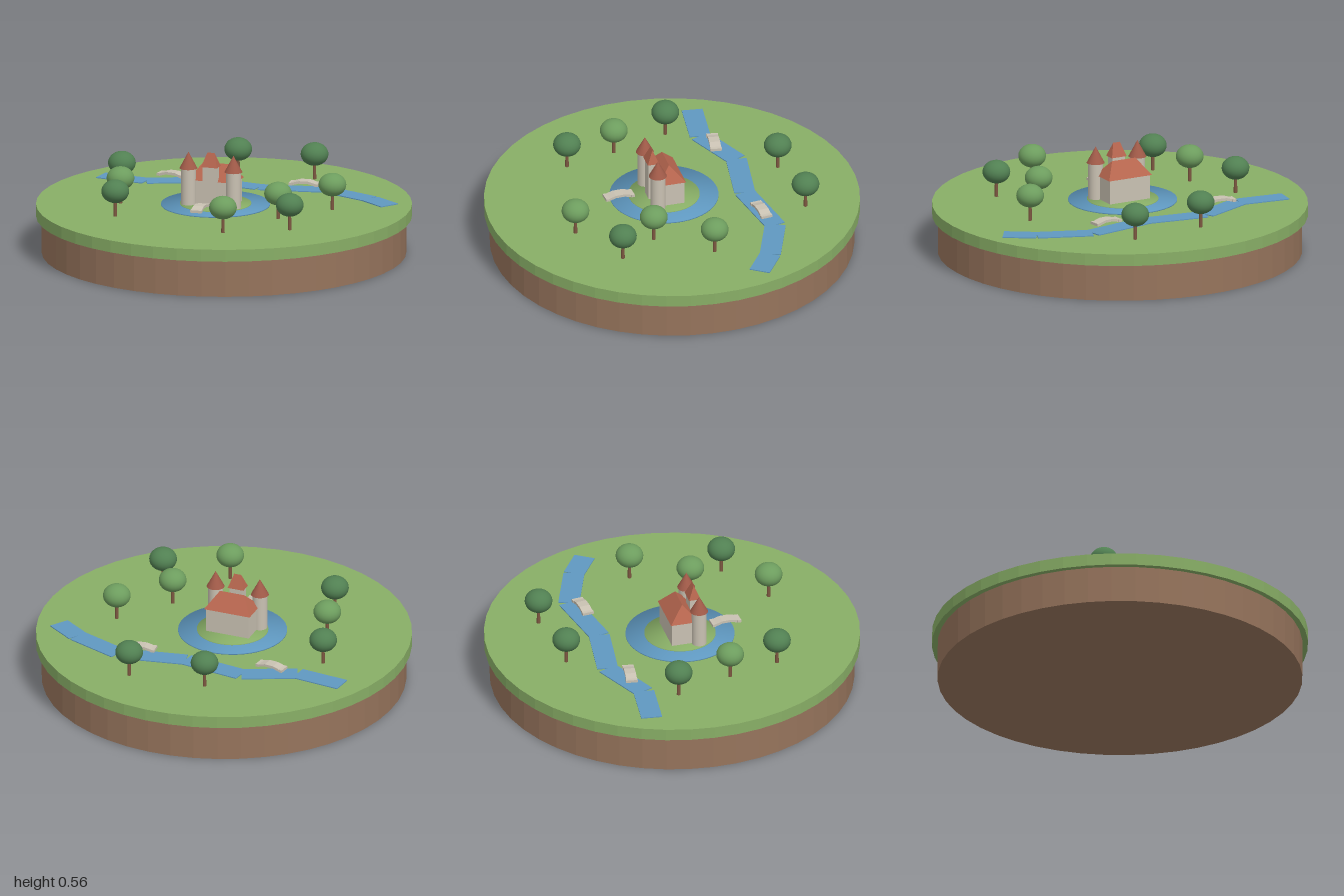
import * as THREE from 'three';
import { mergeVertices } from 'three/addons/utils/BufferGeometryUtils.js';

const material = (name, color) => {
  const m = new THREE.MeshStandardMaterial({ color });
  m.name = name;
  return m;
};

export function createModel() {
  const model = new THREE.Group();
  model.name = 'castleIsland';
  const grass = material('grass', 0x88ae66);
  const earth = material('earth', 0x96745c);
  const water = material('water', 0x5f98c0);
  const stone = material('stone', 0xc9c1b2);
  const roofTile = material('roofTile', 0xb5654e);
  const coneTile = material('coneTile', 0xa05a48);
  const bark = material('bark', 0x7c5640);
  const lightLeaf = material('lightLeaf', 0x6d9d5e);
  const darkLeaf = material('darkLeaf', 0x518052);
  const ground = 0.265;

  const add = (parent, name, geometry, mat, x = 0, y = 0, z = 0) => {
    const mesh = new THREE.Mesh(geometry, mat);
    mesh.name = name;
    mesh.position.set(x, y, z);
    parent.add(mesh);
    return mesh;
  };
  const group = (name, x, y, z, turn = 0) => {
    const g = new THREE.Group();
    g.name = name;
    g.position.set(x, y, z);
    g.rotation.y = turn;
    model.add(g);
    return g;
  };
  // Flat-faceted disc
  const facetedDisc = (r, h) => {
    const g = new THREE.CylinderGeometry(r, r, h, 48).toNonIndexed();
    g.computeVertexNormals();
    return g;
  };
  // Thin disc with normals rounded over its rim
  const softDisc = (r, h) => {
    let g = new THREE.CylinderGeometry(r, r, h, 48);
    g.deleteAttribute('normal');
    g.deleteAttribute('uv');
    g = mergeVertices(g);
    g.computeVertexNormals();
    const p = g.attributes.position;
    const n = new THREE.Vector3();
    for (let i = 0; i < p.count; i++) {
      n.set(p.getX(i) / r, Math.sign(p.getY(i)), p.getZ(i) / r).normalize();
      g.attributes.normal.setXYZ(i, n.x, n.y, n.z);
    }
    return g;
  };
  // Hipped roof: a box whose top is drawn in to a ridge
  const hipRoof = (w, h, d, ridge) => {
    const g = new THREE.BoxGeometry(w, h, d).toNonIndexed();
    const p = g.attributes.position;
    for (let i = 0; i < p.count; i++) {
      if (p.getY(i) > 0) p.setXYZ(i, Math.sign(p.getX(i)) * ridge / 2, h / 2, 0);
    }
    g.computeVertexNormals();
    return g;
  };

  // Island base
  add(model, 'earthBase', facetedDisc(0.97, 0.2), earth, 0, 0.1, 0);
  add(model, 'grassTop', facetedDisc(1, 0.065), grass, 0, 0.2325, 0);

  // Moat and castle mound
  add(model, 'moat', softDisc(0.29, 0.008), water, -0.045, 0.267, 0.02);
  add(model, 'castleMound', softDisc(0.19, 0.012), grass, -0.045, 0.269, 0.02);

  // River, one straight strip per stretch
  const course = [[-0.65, -0.6], [-0.41, -0.48], [-0.11, -0.5], [0.19, -0.34],
    [0.55, -0.28], [0.775, -0.085], [0.88, 0.06]];
  for (let i = 0; i < course.length - 1; i++) {
    const [x0, z0] = course[i];
    const [x1, z1] = course[i + 1];
    const length = Math.hypot(x1 - x0, z1 - z0);
    const strip = add(model, 'riverStretch', new THREE.BoxGeometry(length, 0.008, 0.112), water,
      (x0 + x1) / 2, 0.266, (z0 + z1) / 2);
    strip.rotation.y = -Math.atan2(z1 - z0, x1 - x0);
  }

  // Arched footbridges with a landing slab at each end
  const arch = new THREE.Shape([[-0.08, 0.298], [-0.06, 0.298], [-0.025, 0.308], [0.025, 0.308],
    [0.06, 0.298], [0.08, 0.298], [0.08, 0.31], [0.06, 0.312], [0.025, 0.322], [-0.025, 0.322],
    [-0.06, 0.312], [-0.08, 0.31]].map(([x, y]) => new THREE.Vector2(x, y)));
  const deck = new THREE.ExtrudeGeometry(arch, { depth: 0.058, bevelEnabled: false }).translate(0, 0, -0.029);
  const bridges = [[-0.27, -0.47, -0.48], [0.43, -0.275, -0.235], [-0.13, 0.255, 1.28]];
  for (const [x, z, turn] of bridges) {
    const bridge = group('bridge', x, 0, z, turn);
    add(bridge, 'deck', deck, stone);
    for (const s of [-1, 1]) {
      add(bridge, 'landing', new THREE.BoxGeometry(0.02, 0.014, 0.062), stone, s * 0.07, 0.304, 0);
    }
  }

  // Castle: hall, gate tower and two round towers
  const castle = group('castle', -0.07, 0, 0.085, -0.35);
  add(castle, 'hall', new THREE.BoxGeometry(0.245, 0.14, 0.14), stone, 0, 0.335, -0.078);
  add(castle, 'hallRoof', hipRoof(0.262, 0.085, 0.155, 0.14), roofTile, 0, 0.4475, -0.078);
  add(castle, 'gateTower', new THREE.BoxGeometry(0.075, 0.225, 0.05), stone, 0, 0.3775, 0);
  add(castle, 'gateRoof', hipRoof(0.09, 0.075, 0.064, 0.04), roofTile, 0, 0.5275, 0);
  for (const s of [-1, 1]) {
    add(castle, 'roundTower', new THREE.CylinderGeometry(0.04, 0.04, 0.205, 20), stone, s * 0.127, 0.3675, 0);
    add(castle, 'towerRoof', new THREE.ConeGeometry(0.048, 0.09, 20), coneTile, s * 0.127, 0.515, 0);
  }

  // Trees
  const trunk = new THREE.CylinderGeometry(0.008, 0.01, 0.1, 10);
  const crown = new THREE.SphereGeometry(0.074, 24, 16).scale(1, 0.84, 1);
  const trees = [[0.08, -0.635, darkLeaf], [0.485, -0.525, darkLeaf], [-0.54, -0.345, darkLeaf],
    [-0.55, -0.015, lightLeaf], [-0.58, 0.27, darkLeaf], [-0.01, 0.625, lightLeaf],
    [0.345, 0.57, darkLeaf], [0.285, 0.325, lightLeaf], [0.575, 0.135, lightLeaf]];
  for (const [x, z, leaf] of trees) {
    const tree = group('tree', x, ground, z);
    add(tree, 'trunk', trunk, bark, 0, 0.05, 0);
    add(tree, 'crown', crown, leaf, 0, 0.137, 0);
  }
  return model;
}
